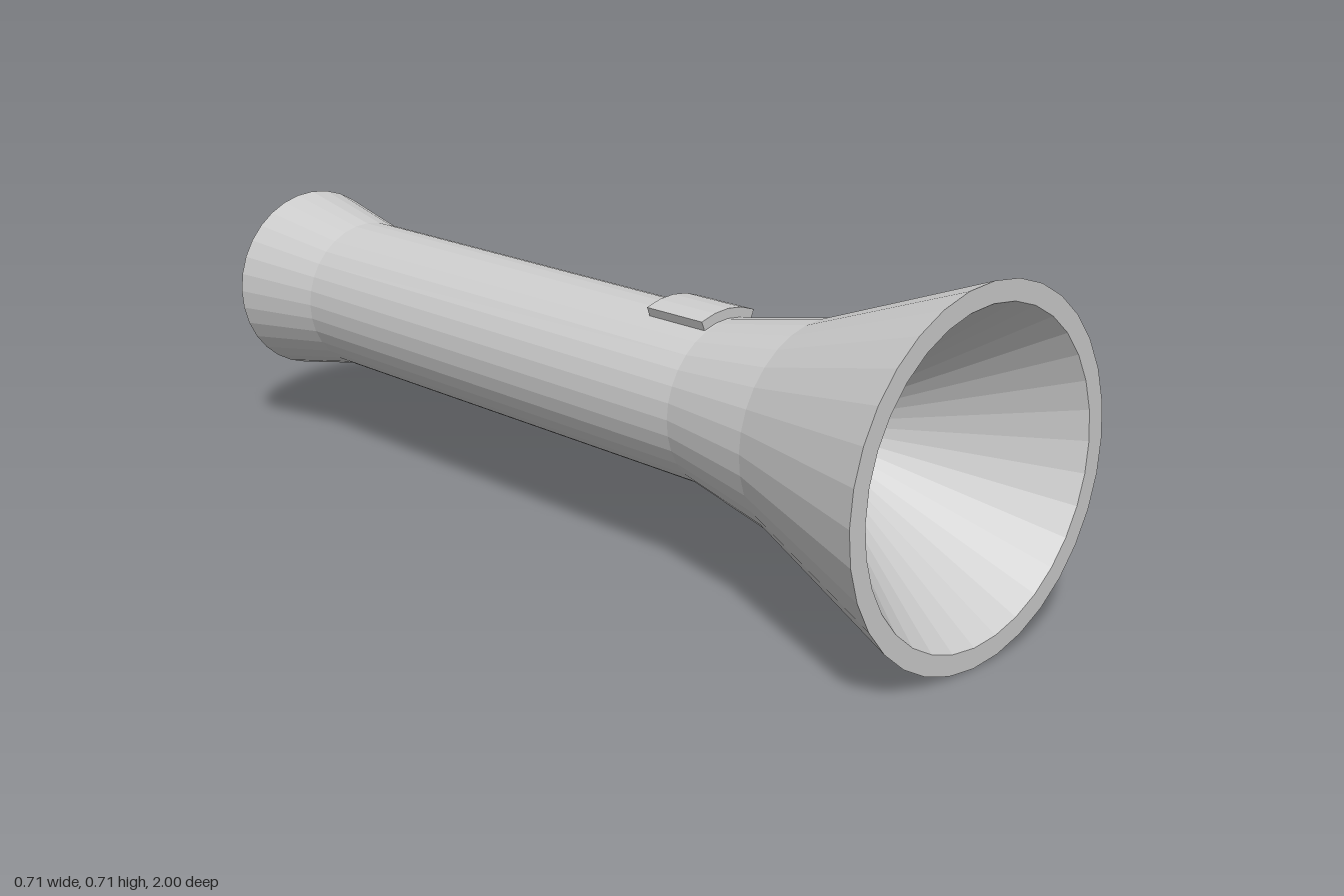
import * as THREE from 'three';

const SIDES = 32;
const AXIS_Y = 0.355;

export function createModel() {
  const group = new THREE.Group();
  const material = new THREE.MeshStandardMaterial({ color: 0xcccccc, flatShading: true });

  const add = (name, geometry) => {
    const mesh = new THREE.Mesh(geometry, material);
    mesh.name = name;
    mesh.position.y = AXIS_Y;
    group.add(mesh);
  };

  // Turned part lying along z, from [radius, z] pairs
  const turned = (name, profile) => {
    const points = profile.map(([r, z]) => new THREE.Vector2(r, z));
    add(name, new THREE.LatheGeometry(points, SIDES).rotateX(Math.PI / 2));
  };

  // Stepped recess in the tail end
  turned('tailRecess', [[0, -0.77], [0.088, -0.77], [0.088, -0.88], [0.178, -0.88], [0.178, -1]]);
  // Flared tail with its flat rim
  turned('tailCap', [[0.178, -1], [0.211, -1], [0.168, -0.78]]);
  // Straight grip
  turned('handle', [[0.168, -0.78], [0.168, 0.39]]);
  // Gentle collar, then the wide head and its rim
  turned('collar', [[0.168, 0.39], [0.213, 0.62]]);
  turned('head', [[0.213, 0.62], [0.355, 1], [0.315, 1]]);
  // Conical reflector and the small bulb disc at its bottom
  turned('reflector', [[0.315, 1], [0.025, 0.6]]);
  turned('bulb', [[0.025, 0.6], [0, 0.6]]);

  // Switch: a thin plate curved around the top of the handle
  const plate = new THREE.Shape();
  const steps = 4;
  const half = Math.PI / 8;
  const arcPoint = (radius, i) => {
    const a = half - (2 * half * i) / steps;
    return new THREE.Vector2(radius * Math.sin(a), radius * Math.cos(a));
  };
  const outline = [];
  for (let i = 0; i <= steps; i++) outline.push(arcPoint(0.188, i));
  for (let i = steps; i >= 0; i--) outline.push(arcPoint(0.165, i));
  plate.setFromPoints(outline);
  const switchGeometry = new THREE.ExtrudeGeometry(plate, { depth: 0.15, bevelEnabled: false });
  add('switch', switchGeometry.translate(0, 0, 0.235));

  return group;
}
